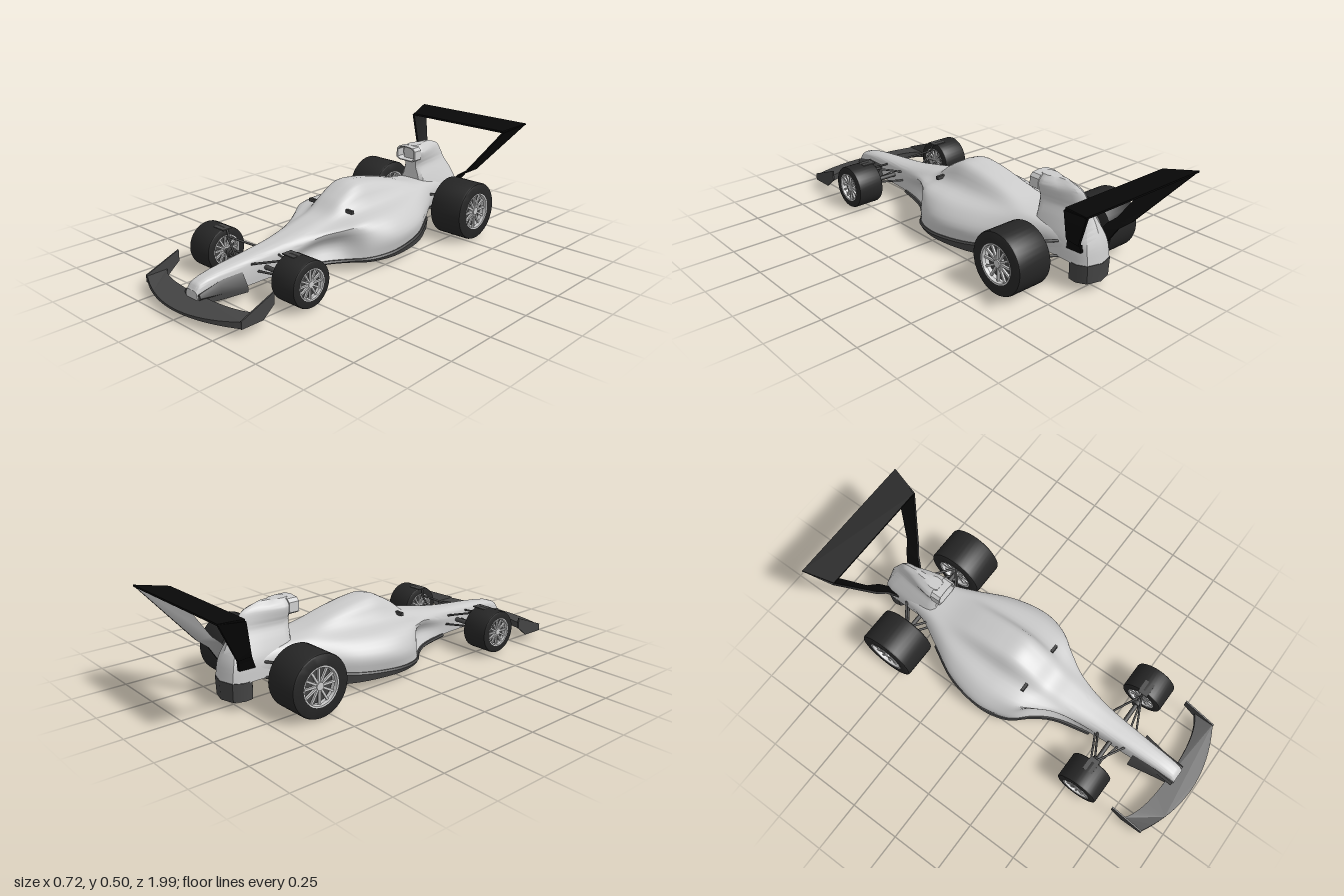
import * as THREE from 'three';
import { toCreasedNormals } from 'three/addons/utils/BufferGeometryUtils.js';

const V = (x, y, z) => new THREE.Vector3(x, y, z);
const mat = (color) => new THREE.MeshStandardMaterial({ color, side: THREE.DoubleSide });
const grey = mat(0xcccccc), dark = mat(0x444444), tyreMat = mat(0x262626), black = mat(0x080808);

function add(parent, name, geometry, material) {
  const mesh = new THREE.Mesh(geometry, material);
  mesh.name = name;
  parent.add(mesh);
  return mesh;
}

// Skin closed rings of points and cap both ends.
function loft(rings, crease = 0.6) {
  const n = rings[0].length, pos = [], idx = [];
  rings.forEach((r) => r.forEach((p) => pos.push(p.x, p.y, p.z)));
  for (let i = 0; i < rings.length - 1; i++) for (let j = 0; j < n; j++) {
    const a = i * n + j, b = i * n + (j + 1) % n;
    idx.push(a, b, b + n, a, b + n, a + n);
  }
  [0, rings.length - 1].forEach((i) => {
    const c = rings[i].reduce((s, p) => s.add(p), V(0, 0, 0)).divideScalar(n);
    const ci = pos.length / 3;
    pos.push(c.x, c.y, c.z);
    for (let j = 0; j < n; j++) {
      const a = i * n + j, b = i * n + (j + 1) % n;
      if (i === 0) idx.push(ci, b, a); else idx.push(ci, a, b);
    }
  });
  const g = new THREE.BufferGeometry();
  g.setAttribute('position', new THREE.Float32BufferAttribute(pos, 3));
  g.setIndex(idx);
  return toCreasedNormals(g, crease);
}

// Complete a half section (centre line to centre line) with its mirror image.
const mirrorRing = (half) =>
  half.concat(half.slice(1, -1).reverse().map((p) => V(-p.x, p.y, p.z)));

// Resample every column of a list of point rows along a smooth curve.
function smooth(rows, steps) {
  const curves = rows[0].map((_, j) => new THREE.CatmullRomCurve3(rows.map((r) => r[j]), false, 'centripetal'));
  return Array.from({ length: steps + 1 }, (_, i) => curves.map((c) => c.getPoint(i / steps)));
}

function rod(parent, name, a, b, r) {
  const m = add(parent, name, new THREE.CylinderGeometry(r, r, a.distanceTo(b), 10), dark);
  m.position.copy(a).lerp(b, 0.5);
  m.quaternion.setFromUnitVectors(V(0, 1, 0), b.clone().sub(a).normalize());
}

function box(parent, name, size, at) {
  add(parent, name, new THREE.BoxGeometry(...size), dark).position.set(...at);
}

// Wheel whose axle lies along x: tyre, rim and spokes on both faces.
function wheel(name, r, width, rim) {
  const g = new THREE.Group(), h = width / 2;
  g.name = name;
  // Profile given for one half (centre to face) and mirrored
  const lathe = (half) => {
    const pts = [...half.map(([x, y]) => [x, -y]).reverse(), ...half].map((p) => new THREE.Vector2(...p));
    return toCreasedNormals(new THREE.LatheGeometry(pts, 40).rotateZ(-Math.PI / 2), 0.7);
  };
  add(g, 'tyre', lathe([[r, h * 0.88], [r * 0.98, h * 0.96], [r * 0.93, h], [rim, h]]), tyreMat);
  add(g, 'rim', lathe([[rim, h * 1.01], [rim * 0.92, h], [rim * 0.9, h * 0.8]]), grey);
  const disc = (part, radius, length, material) =>
    add(g, part, new THREE.CylinderGeometry(radius, radius, length, 28).rotateZ(Math.PI / 2), material);
  disc('brakeDrum', rim * 0.92, width * 0.6, dark);
  disc('hub', rim * 0.2, width * 0.94, grey);
  for (const s of [-1, 1]) for (let i = 0; i < 12; i++) {
    const spoke = new THREE.BoxGeometry(0.01, rim * 0.8, rim * 0.11).translate(s * h * 0.82, rim * 0.52, 0);
    add(g, 'spoke', spoke.rotateX(i * Math.PI / 6), grey);
  }
  return g;
}

// Blunt-nosed horizontal outline used for the fin and diffuser; k narrows the rear.
const finRing = (y, zf, zb, w, k) => mirrorRing([[0, zf], [0.7 * w, zf], [0.95 * w, zf - 0.015], [w, zf - 0.04],
  [w * (1 + k) / 2, (zf + zb) / 2], [w * k, zb + 0.06], [0.75 * w * k, zb + 0.02], [0, zb]]
  .map(([x, z]) => V(x, y, z)));

// Body section: top height, deck edge, shoulder, waist half width, floor half width and height.
function bodyRing([z, top, dx, dy, sx, sy, waist, fx, fy]) {
  const half = [V(0, top, z), V(0.56 * dx, top - 0.14 * (top - dy), z), V(dx, dy, z),
    V(sx, sy, z), V(waist, (sy + fy) / 2, z), V(fx, fy, z)];
  return mirrorRing([...new THREE.CatmullRomCurve3(half, false, 'centripetal').getPoints(20), V(0, fy, z)]);
}

export function createModel() {
  const car = new THREE.Group();
  car.name = 'racingCar';

  // Body, from nose to tail
  const stations = [
    [0.905, 0.10, 0.03, 0.095, 0.035, 0.085, 0.037, 0.035, 0.055],
    [0.88, 0.13, 0.033, 0.12, 0.038, 0.105, 0.04, 0.04, 0.05],
    [0.45, 0.185, 0.06, 0.17, 0.072, 0.14, 0.066, 0.065, 0.05],
    [0.27, 0.218, 0.085, 0.2, 0.115, 0.18, 0.08, 0.11, 0.05],
    [0.18, 0.24, 0.1, 0.215, 0.165, 0.195, 0.13, 0.165, 0.05],
    [0.1, 0.3, 0.115, 0.237, 0.21, 0.21, 0.235, 0.235, 0.055],
    [0, 0.35, 0.125, 0.25, 0.225, 0.217, 0.278, 0.268, 0.06],
    [-0.1, 0.345, 0.127, 0.252, 0.225, 0.217, 0.283, 0.27, 0.067],
    [-0.25, 0.313, 0.12, 0.253, 0.195, 0.217, 0.247, 0.24, 0.08],
    [-0.41, 0.267, 0.105, 0.25, 0.14, 0.217, 0.165, 0.16, 0.1],
    [-0.55, 0.25, 0.08, 0.235, 0.1, 0.2, 0.1, 0.09, 0.115],
    [-0.72, 0.23, 0.065, 0.215, 0.08, 0.19, 0.085, 0.08, 0.12],
  ];
  add(car, 'body', loft(smooth(stations.map(bodyRing), 77)), grey);

  // Flat floor following the body outline, with a skirt that rises to the rear
  const floor = stations.slice(2, 10).map((s) => {
    const z = s[0], w = s[7] + 0.012, y = s[8] + 0.006;
    return mirrorRing([V(0, y, z), V(w - 0.006, y, z), V(w, y - 0.008, z), V(w - 0.008, 0.04, z), V(0, 0.04, z)]);
  });
  add(car, 'floor', loft(smooth(floor, 35)), dark);

  // Engine fin: height, front z, rear z, half width, rear narrowing
  const fin = [[0.12, -0.5, -0.81, 0.09, 1], [0.2, -0.48, -0.797, 0.088, 0.95], [0.27, -0.48, -0.77, 0.068, 0.8],
    [0.33, -0.475, -0.735, 0.046, 0.65], [0.36, -0.472, -0.72, 0.054, 0.5], [0.4, -0.47, -0.69, 0.058, 0.4],
    [0.43, -0.47, -0.61, 0.03, 0.4]].map((r) => finRing(...r));
  add(car, 'engineFin', loft(smooth(fin, 24), 0.7), grey);

  // Open air intake on the front of the fin
  const outline = (s) => {
    const right = [[0.042, -0.037], [0.06, -0.026], [0.058, 0.018], [0.044, 0.033]];
    return [...right, [0, 0.038], ...right.map(([x, y]) => [-x, y]).reverse()]
      .map(([x, y]) => new THREE.Vector2(x * s, y * s));
  };
  const mouth = new THREE.Shape(outline(1));
  mouth.holes.push(new THREE.Path(outline(0.86).reverse()));
  add(car, 'airIntake', new THREE.ExtrudeGeometry(mouth, { depth: 0.05, bevelEnabled: false }).translate(0, 0.392, -0.486), grey);

  // Tail diffuser
  add(car, 'diffuser', loft([finRing(0.04, -0.69, -0.81, 0.088, 1), finRing(0.124, -0.69, -0.812, 0.092, 1)]), dark);

  // Front wing: curved blade, thinner at the leading edge
  const blade = new THREE.Shape();
  blade.moveTo(-0.315, 0.905);
  blade.quadraticCurveTo(0, 1.08, 0.315, 0.905);
  blade.lineTo(0.315, 0.8);
  blade.quadraticCurveTo(0.25, 0.865, 0.05, 0.87);
  blade.lineTo(-0.05, 0.87);
  blade.quadraticCurveTo(-0.25, 0.865, -0.315, 0.8);
  const wing = new THREE.ExtrudeGeometry(blade, { depth: 0.029, bevelEnabled: false, curveSegments: 20 })
    .rotateX(Math.PI / 2).translate(0, 0.065, 0);
  const p = wing.attributes.position;
  for (let i = 0; i < p.count; i++) if (p.getY(i) > 0.05) p.setY(i, 0.045 + 0.022 * Math.min(1, (1 - p.getZ(i)) / 0.1));
  wing.computeVertexNormals();
  add(car, 'frontWing', wing, dark);

  // Dark lower nose that flares to the rear
  add(car, 'lowerNose', loft([[0.9, 0.045, 0.075], [0.8, 0.062, 0.1], [0.68, 0.085, 0.115]].map(([z, w, y]) => mirrorRing(
    [V(0, y, z), V(0.045, y + 0.015, z), V(0.055, y, z), V(w, 0.065, z), V(w, 0.04, z), V(0, 0.04, z)]))), dark);

  // Rear wing blade
  const bladeRing = (s) => [V(s * 0.29, 0.47, -0.855), V(s * 0.335, 0.495, -1), V(s * 0.335, 0.503, -1), V(s * 0.29, 0.48, -0.855)];
  add(car, 'rearWing', loft([bladeRing(-1), bladeRing(1)]), black);

  for (const s of [1, -1]) {
    const side = s > 0 ? 'left' : 'right';

    // Rear wing strut: leading and trailing points from blade to foot
    const strut = [[0.287, 0.472, -0.855, 0.33, 0.5, -1], [0.15, 0.265, -0.75, 0.162, 0.262, -0.82],
      [0.115, 0.24, -0.725, 0.115, 0.235, -0.79], [0.08, 0.18, -0.69, 0.08, 0.18, -0.765]];
    add(car, side + 'WingStrut', loft(strut.map(([a, b, c, d, e, f]) =>
      [V(s * a, b, c), V(s * (a + 0.012), b, c), V(s * (d + 0.006), e, f), V(s * (d - 0.008), e, f)])), black);

    // Front wing end plate
    const plate = new THREE.Shape([[0.91, 0.036], [0.91, 0.07], [0.74, 0.137], [0.74, 0.085], [0.8, 0.036]]
      .map((q) => new THREE.Vector2(...q)));
    add(car, side + 'EndPlate', new THREE.ExtrudeGeometry(plate, { depth: 0.007, bevelEnabled: false })
      .rotateY(-Math.PI / 2).translate(s * 0.313 + 0.0035, 0, 0), dark);

    // Wheels
    const front = wheel(side + 'FrontWheel', 0.104, 0.136, 0.07);
    front.position.set(s * 0.272, 0.112, 0.557);
    const rear = wheel(side + 'RearWheel', 0.142, 0.178, 0.09);
    rear.position.set(s * 0.272, 0.142, -0.555);
    car.add(front, rear);

    // Front suspension
    rod(car, 'frontAxle', V(s * 0.04, 0.107, 0.557), V(s * 0.25, 0.107, 0.557), 0.011);
    rod(car, 'frontUpright', V(s * 0.162, 0.107, 0.557), V(s * 0.182, 0.107, 0.557), 0.024);
    for (const z of [0.48, 0.63]) rod(car, 'frontWishbone', V(s * 0.05, 0.14, z), V(s * 0.195, 0.178, 0.557), 0.005);
    for (const z of [0.47, 0.6]) rod(car, 'frontLowerArm', V(s * 0.05, 0.1, z), V(s * 0.23, 0.107, 0.557), 0.005);
    rod(car, 'finPost', V(s * 0.185, 0.176, 0.557), V(s * 0.195, 0.212, 0.557), 0.005);
    box(car, 'wheelFin', [0.07, 0.005, 0.05], [s * 0.226, 0.213, 0.557]);

    // Rear suspension
    rod(car, 'rearAxle', V(s * 0.06, 0.142, -0.555), V(s * 0.25, 0.142, -0.555), 0.011);
    for (const z of [-0.46, -0.65]) for (const y of [0.12, 0.19])
      rod(car, 'rearWishbone', V(s * 0.07, y, z), V(s * 0.2, y, -0.555), 0.006);

    // Small cockpit mirror
    box(car, side + 'Mirror', [0.04, 0.016, 0.014], [s * 0.118, 0.252, 0.1]);
  }
  return car;
}
